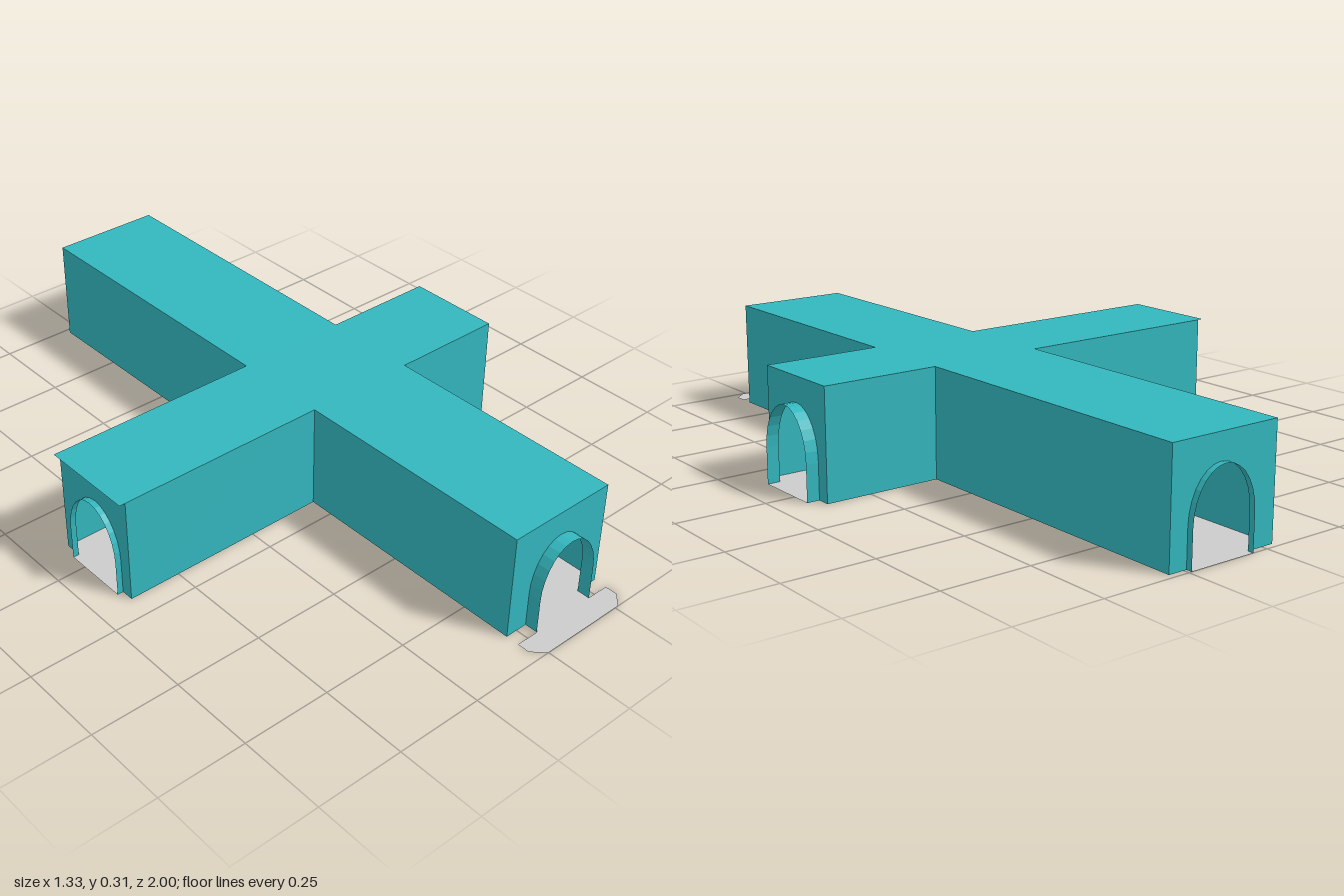
import * as THREE from 'three';

const H = 0.305;                                  // wall height
const X0 = -0.035, X1 = 0.295, Z0 = -0.1, Z1 = 0.18;   // sides of the two halls
const LEFT = -0.65, RIGHT = 0.63, BACK = -0.983, FRONT = 0.895; // hall ends
const R = 0.098, SPRING = 0.1, TOP = 0.235;       // archway half width and heights

const teal = new THREE.MeshStandardMaterial({ color: 0x33b6bd, side: THREE.DoubleSide, flatShading: true });
const grey = new THREE.MeshStandardMaterial({ color: 0xcccccc, side: THREE.DoubleSide, flatShading: true });

// Archway outline from the right foot over the top to the left foot
function archPoints(cx) {
  const points = [new THREE.Vector2(cx + R, 0)];
  for (let i = 0; i <= 14; i++) {
    const a = (i / 14) * Math.PI;
    points.push(new THREE.Vector2(cx + R * Math.cos(a), SPRING + (TOP - SPRING) * Math.sin(a)));
  }
  points.push(new THREE.Vector2(cx - R, 0));
  return points;
}

// Cross outline in x and z; roofLeft is where the -x arm ends
function crossShape(leftEnd) {
  return new THREE.Shape([
    [X0, FRONT], [X0, Z1], [leftEnd, Z1], [leftEnd, Z0], [X0, Z0], [X0, BACK],
    [X1, BACK], [X1, Z0], [RIGHT, Z0], [RIGHT, Z1], [X1, Z1], [X1, FRONT],
  ].map(([x, z]) => new THREE.Vector2(x, z)));
}

function addMesh(parent, name, geometry, material) {
  const mesh = new THREE.Mesh(geometry, material);
  mesh.name = name;
  parent.add(mesh);
  return mesh;
}

// Flat horizontal sheet, shape y becoming z
function addSheet(parent, name, shape, y, material) {
  const geometry = new THREE.ShapeGeometry(shape).rotateX(Math.PI / 2).translate(0, y, 0);
  return addMesh(parent, name, geometry, material);
}

function rectangle(x0, x1, y0, y1) {
  return new THREE.Shape([[x0, y0], [x1, y0], [x1, y1], [x0, y1]].map(([x, y]) => new THREE.Vector2(x, y)));
}

// End wall with archway, projecting collar and threshold, built facing +z
function endPortal(name, halfWidth, cx, depth) {
  const group = new THREE.Group();
  group.name = name;
  const arch = archPoints(cx);
  const outline = [
    new THREE.Vector2(halfWidth, 0), new THREE.Vector2(halfWidth, H),
    new THREE.Vector2(-halfWidth, H), new THREE.Vector2(-halfWidth, 0),
    ...arch.slice().reverse(),
  ];
  addMesh(group, 'endWall', new THREE.ShapeGeometry(new THREE.Shape(outline)), teal);

  const positions = [], indices = [];
  arch.forEach((p, i) => {
    positions.push(p.x, p.y, 0, p.x, p.y, depth);
    if (i) {
      const a = 2 * i - 2;
      indices.push(a, a + 1, a + 2, a + 1, a + 3, a + 2);
    }
  });
  const collar = new THREE.BufferGeometry();
  collar.setAttribute('position', new THREE.Float32BufferAttribute(positions, 3));
  collar.setIndex(indices);
  collar.computeVertexNormals();
  addMesh(group, 'archCollar', collar, teal);

  addSheet(group, 'threshold', rectangle(cx - R, cx + R, 0, depth), 0, grey);
  return group;
}

export function createModel() {
  const model = new THREE.Group();
  model.name = 'crossCorridor';

  // Floor and roof; the roof overhangs the -x end slightly
  addSheet(model, 'floor', crossShape(LEFT), 0, grey);
  addSheet(model, 'roof', crossShape(-0.667), H, teal);

  // Side walls of the four arms
  for (const [z, s] of [[Z0, -1], [Z1, 1]]) {
    for (const [a, b] of [[LEFT, X0], [X1, RIGHT]]) {
      const wall = addMesh(model, 'crossHallWall', new THREE.PlaneGeometry(b - a, H), teal);
      wall.position.set((a + b) / 2, H / 2, z);
      wall.rotation.y = s > 0 ? 0 : Math.PI;
    }
  }
  for (const [x, s] of [[X0, -1], [X1, 1]]) {
    for (const [a, b] of [[BACK, Z0], [Z1, FRONT]]) {
      const wall = addMesh(model, 'mainHallWall', new THREE.PlaneGeometry(b - a, H), teal);
      wall.position.set(x, H / 2, (a + b) / 2);
      wall.rotation.y = s * Math.PI / 2;
    }
  }

  // Portals: name, half width, arch offset, collar depth, x, z, turn
  const midX = (X0 + X1) / 2, midZ = (Z0 + Z1) / 2;
  for (const [name, half, cx, depth, x, z, turn] of [
    ['frontPortal', 0.165, 0.001, 0.037, midX, FRONT, 0],
    ['backPortal', 0.165, -0.0135, 0.017, midX, BACK, Math.PI],
    ['leftPortal', 0.14, 0.0035, 0.036, RIGHT, midZ, Math.PI / 2],
    ['rightPortal', 0.14, 0.006, 0.017, LEFT, midZ, -Math.PI / 2],
  ]) {
    const portal = endPortal(name, half, cx, depth);
    portal.position.set(x, 0, z);
    portal.rotation.y = turn;
    model.add(portal);
  }

  // Chamfered doorstep beyond the front archway
  const step = new THREE.Shape([
    [X0, 0.932], [X1, 0.932], [X1, 0.967], [X1 - 0.033, 1], [X0 + 0.033, 1], [X0, 0.967],
  ].map(([x, z]) => new THREE.Vector2(x, z)));
  addSheet(model, 'doorstep', step, 0, grey);

  return model;
}
